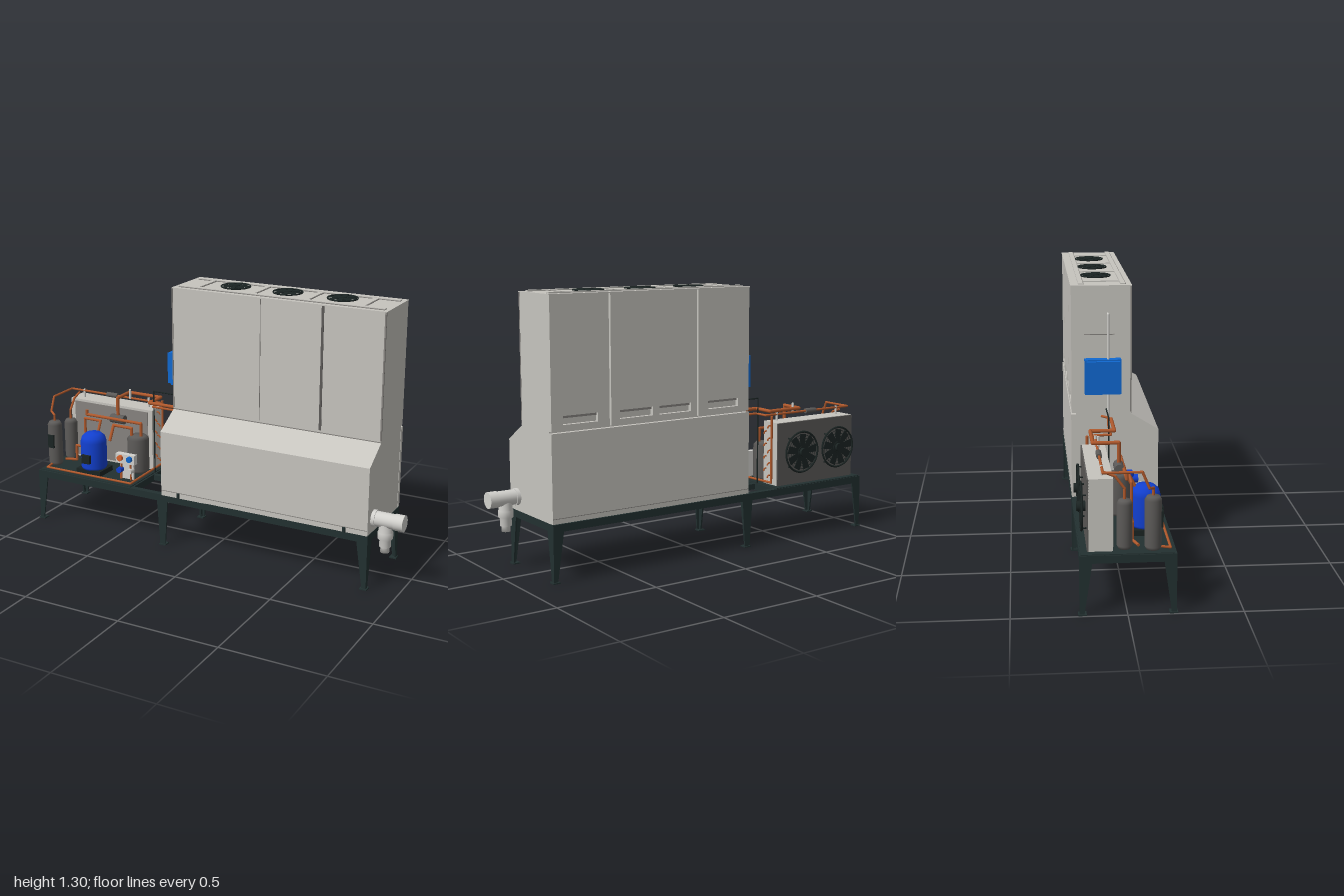
import * as THREE from 'three';

const mat = (name, color, side = THREE.FrontSide) => {
  const m = new THREE.MeshStandardMaterial({ color, side });
  m.name = name;
  return m;
};
const M = {
  cabinet: mat('cabinet grey', 0xc6c4be),
  frame: mat('frame dark green', 0x223030),
  blue: mat('compressor blue', 0x1240d0),
  box: mat('control box blue', 0x1068d0),
  copper: mat('copper', 0xb0592c),
  tank: mat('tank grey', 0x5c5a58),
  steel: mat('coil grey', 0x86837f),
  plastic: mat('drain plastic', 0xd2d1cd),
  black: mat('fan black', 0x1b2423),
  orange: mat('valve orange', 0xd8622c),
};

export function createModel() {
  const root = new THREE.Group();
  const group = (name, parent = root) => {
    const g = new THREE.Group();
    g.name = name;
    parent.add(g);
    return g;
  };
  const add = (parent, name, geo, m) => {
    const mesh = new THREE.Mesh(geo, m);
    mesh.name = name;
    parent.add(mesh);
    return mesh;
  };
  // box given by its two corners
  const box = (p, name, m, x0, x1, y0, y1, z0, z1) =>
    add(p, name, new THREE.BoxGeometry(x1 - x0, y1 - y0, z1 - z0)
      .translate((x0 + x1) / 2, (y0 + y1) / 2, (z0 + z1) / 2), m);
  const outline = pts => new THREE.Shape(pts.map(q => new THREE.Vector2(...q)));
  const plate = (shape, t) => new THREE.ExtrudeGeometry(shape, { depth: t, bevelEnabled: false });
  // profile of [z, y] points swept from x0 to x1
  const sweepX = (pts, x0, x1) =>
    plate(outline(pts.map(([z, y]) => [-z, y])), x1 - x0).rotateY(Math.PI / 2).translate(x0, 0, 0);
  // round bar between two points
  const bar = (p, name, m, a, b, r, seg = 10) => {
    const A = new THREE.Vector3(...a), B = new THREE.Vector3(...b), d = B.clone().sub(A);
    const mesh = add(p, name, new THREE.CylinderGeometry(r, r, d.length(), seg), m);
    mesh.position.copy(A).add(B).multiplyScalar(0.5);
    mesh.quaternion.setFromUnitVectors(new THREE.Vector3(0, 1, 0), d.normalize());
    return mesh;
  };
  const pipe = (name, pts, r, m = M.copper) => {
    const g = group(name);
    pts.forEach((q, i) => {
      if (i) bar(g, 'run', m, pts[i - 1], q, r, 8);
      if (i && i < pts.length - 1) add(g, 'elbow', new THREE.SphereGeometry(r, 8, 6), m).position.set(...q);
    });
  };
  const lathe = (p, name, m, pts, x, y, z) => {
    const mesh = add(p, name, new THREE.LatheGeometry(pts.map(q => new THREE.Vector2(...q)), 28), m);
    mesh.position.set(x, y, z);
    return mesh;
  };

  // base frame: rails, cross bars and plant floor
  const frame = group('baseFrame');
  box(frame, 'frontRail', M.frame, -0.99, 0.85, 0.235, 0.27, 0.18, 0.21);
  box(frame, 'backRail', M.frame, -0.99, 0.85, 0.235, 0.27, -0.205, -0.175);
  for (const x of [-0.99, -0.45, -0.255, 0.82]) box(frame, 'crossBar', M.frame, x, x + 0.03, 0.235, 0.27, -0.2, 0.2);
  box(frame, 'middleBar', M.frame, -0.43, -0.25, 0.24, 0.268, -0.035, -0.01);
  box(frame, 'plantFloor', M.frame, -0.985, -0.43, 0.258, 0.274, -0.2, 0.2);

  // tapered angle legs
  const corner = outline([[0, 0], [0.02, 0], [0.055, 0.24], [0, 0.24]]);
  const middle = outline([[-0.014, 0], [0.014, 0], [0.03, 0.24], [-0.03, 0.24]]);
  for (const [x, dir] of [[-0.99, 1], [-0.24, 0], [0.85, -1]])
    for (const s of [1, -1]) {
      const z = s > 0 ? 0.21 : -0.205;
      const leg = group('leg');
      const face = add(leg, 'legFace', plate(dir ? corner : middle, 0.008), M.frame);
      if (dir < 0) face.rotation.y = Math.PI;
      face.position.set(x, 0, z - (s > 0 ? 0.008 : 0) + (dir < 0 ? 0.008 : 0));
      const web = add(leg, 'legWeb', plate(corner, 0.008), M.frame);
      web.rotation.y = s * Math.PI / 2;
      const inner = dir < 0 ? x - 0.008 : dir > 0 ? x : x - 0.004;
      web.position.set(s > 0 ? inner : inner + 0.008, 0, z);
      box(leg, 'foot', M.frame, x + dir * 0.012 - 0.018, x + dir * 0.012 + 0.018, 0, 0.006, z - s * 0.012 - 0.018, z - s * 0.012 + 0.018);
    }

  // cabinet body with sloped shoulder
  const cab = group('cabinet');
  add(cab, 'body', sweepX([[-0.18, 0.268], [0.21, 0.268], [0.21, 0.6], [0.08, 0.68], [0.08, 1.288], [-0.18, 1.288]], -0.243, 0.848), M.cabinet);
  box(cab, 'lowerBackPanel', M.cabinet, -0.245, 0.85, 0.272, 0.68, -0.203, -0.18);
  box(cab, 'backPlinthLine', M.steel, -0.245, 0.85, 0.294, 0.297, -0.2045, -0.2);
  box(cab, 'frontPlinthLine', M.steel, -0.24, 0.845, 0.294, 0.297, 0.205, 0.2115);
  box(cab, 'shoulderLine', M.steel, -0.243, 0.848, 0.681, 0.685, 0.07, 0.082);
  box(cab, 'frontSeamWide', M.tank, 0.539, 0.551, 0.695, 1.285, 0.07, 0.082);
  box(cab, 'frontSeam', M.steel, 0.229, 0.232, 0.695, 1.285, 0.07, 0.0815);
  box(cab, 'shoulderEdge', M.steel, 0.842, 0.849, 0.69, 1.288, 0.075, 0.082);
  box(cab, 'shoulderEdge', M.steel, -0.244, -0.238, 0.69, 1.288, 0.075, 0.082);
  for (const x of [-0.145, 0.735]) bar(cab, 'latch', M.frame, [x, 0.27, 0.215], [x, 0.295, 0.215], 0.008);

  // back doors with hand slots
  for (const [x0, x1, slots] of [[-0.243, 0.058, [-0.09]], [0.066, 0.54, [0.19, 0.405]], [0.549, 0.848, [0.7]]]) {
    const s = outline([[x0, 0.688], [x1, 0.688], [x1, 1.288], [x0, 1.288]]);
    for (const c of slots) {
      s.holes.push(outline([[c - 0.09, 0.715], [c - 0.09, 0.755], [c + 0.09, 0.755], [c + 0.09, 0.715]]));
      box(cab, 'slotShade', M.steel, c - 0.09, c + 0.09, 0.743, 0.755, -0.188, -0.18);
    }
    add(cab, 'backDoor', plate(s, 0.02).translate(0, 0, -0.2), M.cabinet);
  }
  for (const x of [0.058, 0.54]) box(cab, 'doorGap', M.tank, x, x + 0.009, 0.69, 1.286, -0.184, -0.179);

  // left wall service cover and handle
  box(cab, 'serviceCover', M.steel, -0.246, -0.242, 1.06, 1.064, -0.14, 0.0);
  pipe('wallHandle', [[-0.243, 1.16, -0.03], [-0.27, 1.16, -0.03], [-0.27, 0.65, -0.03]], 0.005, M.plastic);
  pipe('wallHandleArm', [[-0.243, 1.115, -0.03], [-0.27, 1.115, -0.03]], 0.004, M.plastic);

  // roof with stiffening ribs
  box(cab, 'roof', M.cabinet, -0.245, 0.85, 1.286, 1.291, -0.202, 0.082);
  for (const z of [-0.165, 0.03]) {
    box(cab, 'roofRib', M.cabinet, -0.22, 0.83, 1.29, 1.297, z, z + 0.022);
    box(cab, 'ribShade', M.steel, -0.22, 0.83, 1.29, 1.294, z + 0.022, z + 0.026);
  }
  for (const x of [-0.145, 0.15, 0.425, 0.7]) {
    box(cab, 'roofCrossRib', M.cabinet, x, x + 0.025, 1.29, 1.296, -0.14, 0.03);
    box(cab, 'crossRibShade', M.steel, x + 0.025, x + 0.029, 1.29, 1.294, -0.14, 0.03);
  }

  // fan facing +z, used on the roof and on the coil
  const fan = (name, r, n, rings) => {
    const g = group(name);
    add(g, 'rim', new THREE.TorusGeometry(r * 0.96, r * 0.05, 6, 36), M.black);
    for (let i = 1; i <= rings; i++) add(g, 'guardRing', new THREE.TorusGeometry(r * (0.25 + 0.7 * i / (rings + 1)), 0.0016, 4, 32), M.black);
    add(g, 'hub', new THREE.CylinderGeometry(r * 0.27, r * 0.27, 0.012, 20).rotateX(Math.PI / 2), M.black);
    for (let i = 0; i < n; i++) {
      const b = add(g, 'blade', plate(outline([[0.18 * r, -0.1 * r], [0.86 * r, -0.06 * r], [0.84 * r, 0.3 * r], [0.5 * r, 0.24 * r], [0.2 * r, 0.1 * r]]), 0.003), M.black);
      b.rotation.z = i * 2 * Math.PI / n;
    }
    return g;
  };
  for (const x of [0.025, 0.3, 0.577]) {
    const f = fan('roofFan', 0.073, 8, 1);
    f.rotation.x = -Math.PI / 2;
    f.position.set(x, 1.296, -0.07);
  }

  // condenser coil with two fans
  const coil = group('condenser');
  box(coil, 'casing', M.cabinet, -0.955, -0.455, 0.275, 0.597, -0.165, -0.06);
  box(coil, 'finFace', M.steel, -0.93, -0.48, 0.285, 0.585, -0.062, -0.057);
  box(coil, 'fanPlate', M.tank, -0.955, -0.455, 0.275, 0.595, -0.171, -0.163);
  for (let i = 0; i < 9; i++) add(coil, 'coilBend', new THREE.TorusGeometry(0.013, 0.004, 6, 10, Math.PI), M.copper)
    .position.set(-0.452, 0.31 + i * 0.032, -0.11 + (i % 2) * 0.03);
  for (const x of [-0.84, -0.6]) {
    const f = fan('condenserFan', 0.108, 9, 4);
    f.rotation.y = Math.PI;
    f.position.set(x, 0.44, -0.19);
    bar(f, 'motor', M.black, [0, 0, -0.02], [0, 0, 0.02], 0.022, 16);
    for (let i = 0; i < 4; i++) {
      const a = Math.PI / 4 + i * Math.PI / 2, c = Math.cos(a) * 0.104, s = Math.sin(a) * 0.104;
      bar(f, 'guardPost', M.black, [c, s, -0.022], [c, s, 0], 0.004, 6);
    }
  }

  // compressor
  const comp = group('compressor');
  lathe(comp, 'shell', M.blue, [[0, 0], [0.062, 0], [0.067, 0.012], [0.067, 0.145], [0.06, 0.17], [0.04, 0.188], [0, 0.194]], -0.713, 0.298, 0.1);
  box(comp, 'terminalBox', M.black, -0.738, -0.69, 0.34, 0.385, 0.155, 0.18);
  box(comp, 'mountPlate', M.black, -0.785, -0.64, 0.274, 0.3, 0.04, 0.16);

  // pressure vessels
  for (const [x, z, r, h] of [[-0.947, 0.11, 0.037, 0.24], [-0.93, -0.01, 0.034, 0.22], [-0.505, 0, 0.056, 0.2]])
    lathe(root, 'vessel', M.tank, [[0, 0], [r * 0.8, 0], [r, 0.015], [r, h - 0.02], [r * 0.75, h - 0.004], [0, h]], x, 0.28, z);
  box(root, 'vesselLabel', M.black, -0.965, -0.93, 0.38, 0.45, 0.13, 0.152);
  bar(root, 'inlineMuffler', M.tank, [-0.67, 0.542, -0.01], [-0.59, 0.542, -0.01], 0.023, 16);
  bar(root, 'filterDrier', M.tank, [-0.755, 0.632, -0.105], [-0.69, 0.632, -0.105], 0.013, 14);

  // copper pipework
  pipe('liquidLine', [[-0.947, 0.5, 0.11], [-0.947, 0.55, 0.11], [-0.98, 0.56, 0.09], [-0.98, 0.632, 0.06], [-0.98, 0.632, -0.105],
    [-0.43, 0.632, -0.105], [-0.43, 0.632, -0.03], [-0.275, 0.632, -0.03], [-0.275, 0.67, -0.03], [-0.243, 0.67, -0.06]], 0.006);
  pipe('suctionLine', [[-0.63, 0.55, -0.01], [-0.63, 0.655, -0.01], [-0.63, 0.655, -0.125], [-0.44, 0.655, -0.125], [-0.44, 0.655, -0.015],
    [-0.28, 0.655, -0.015], [-0.243, 0.655, -0.015]], 0.009);
  pipe('dischargeLine', [[-0.713, 0.47, 0.06], [-0.713, 0.53, 0.03], [-0.81, 0.53, 0.03], [-0.81, 0.37, 0.03], [-0.87, 0.37, 0.03], [-0.87, 0.29, 0.03], [-0.93, 0.29, 0.05]], 0.007);
  pipe('vesselLine', [[-0.48, 0.46, 0.01], [-0.48, 0.545, 0.01], [-0.81, 0.545, 0.01], [-0.81, 0.57, 0.01]], 0.008);
  pipe('returnLine', [[-0.53, 0.46, 0.02], [-0.53, 0.515, 0.02], [-0.64, 0.515, 0.02], [-0.64, 0.44, 0.06]], 0.008);
  pipe('floorLine', [[-0.95, 0.29, 0.14], [-0.95, 0.284, 0.185], [-0.44, 0.284, 0.185], [-0.44, 0.29, -0.14], [-0.44, 0.632, -0.14]], 0.006);
  pipe('rearVesselLine', [[-0.93, 0.49, -0.01], [-0.93, 0.545, -0.01], [-0.93, 0.6, -0.05], [-0.93, 0.62, -0.1]], 0.006);
  pipe('controlWire', [[-0.43, 0.27, -0.04], [-0.43, 0.712, -0.04], [-0.27, 0.712, -0.04]], 0.0035, M.black);
  for (const [x, y, z] of [[-0.9, 0.64, -0.105], [-0.61, 0.68, -0.1], [-0.5, 0.65, -0.105]])
    bar(root, 'serviceStem', M.plastic, [x, y - 0.05, z], [x, y, z], 0.006);

  // valve and gauge block
  const valves = group('valveBlock');
  box(valves, 'bracket', M.plastic, -0.56, -0.45, 0.36, 0.41, 0.1, 0.13);
  box(valves, 'bracketStand', M.plastic, -0.545, -0.465, 0.275, 0.36, 0.105, 0.115);
  for (const [x, y, m] of [[-0.53, 0.39, M.orange], [-0.475, 0.39, M.box], [-0.535, 0.325, M.blue], [-0.475, 0.325, M.plastic]]) {
    bar(valves, 'cap', m, [x, y, 0.11], [x, y, 0.145], 0.015, 14);
    bar(valves, 'stem', M.copper, [x, 0.276, 0.125], [x, y - 0.012, 0.125], 0.005);
  }

  // wall control box
  const ctl = group('controlBox');
  box(ctl, 'case', M.box, -0.285, -0.243, 0.785, 0.95, -0.14, 0.03);
  box(ctl, 'lid', M.box, -0.307, -0.287, 0.79, 0.945, -0.133, 0.023);
  box(ctl, 'lidSeal', M.blue, -0.288, -0.284, 0.795, 0.94, -0.128, 0.018);

  // water pump beside the cabinet
  const pump = group('waterPump');
  bar(pump, 'motor', M.blue, [-0.28, 0.355, 0.07], [-0.28, 0.4, 0.07], 0.022, 18);
  bar(pump, 'motorCap', M.blue, [-0.28, 0.4, 0.07], [-0.28, 0.41, 0.07], 0.015, 18);
  bar(pump, 'motorSide', M.blue, [-0.28, 0.37, 0.03], [-0.28, 0.37, 0.11], 0.02, 18);
  bar(pump, 'volute', M.tank, [-0.28, 0.315, 0.07], [-0.28, 0.356, 0.07], 0.026, 18);
  bar(pump, 'outlet', M.plastic, [-0.28, 0.33, 0.07], [-0.24, 0.33, 0.07], 0.012);
  bar(pump, 'suctionTube', M.plastic, [-0.28, 0.27, 0.07], [-0.28, 0.32, 0.07], 0.01);

  // drain tee on the right wall
  const drain = group('drainTee');
  bar(drain, 'branch', M.plastic, [0.845, 0.337, 0.14], [1.0, 0.337, 0.14], 0.036, 28);
  bar(drain, 'collar', M.plastic, [0.848, 0.337, 0.14], [0.865, 0.337, 0.14], 0.04, 28);
  bar(drain, 'endCollar', M.plastic, [0.955, 0.337, 0.14], [1.0, 0.337, 0.14], 0.039, 28);
  lathe(drain, 'downPipe', M.plastic, [[0, 0], [0.021, 0], [0.021, 0.025], [0.027, 0.027], [0.027, 0.06], [0.036, 0.07], [0.036, 0.1], [0.032, 0.102], [0.032, 0.15]], 0.91, 0.18, 0.14);

  return root;
}
